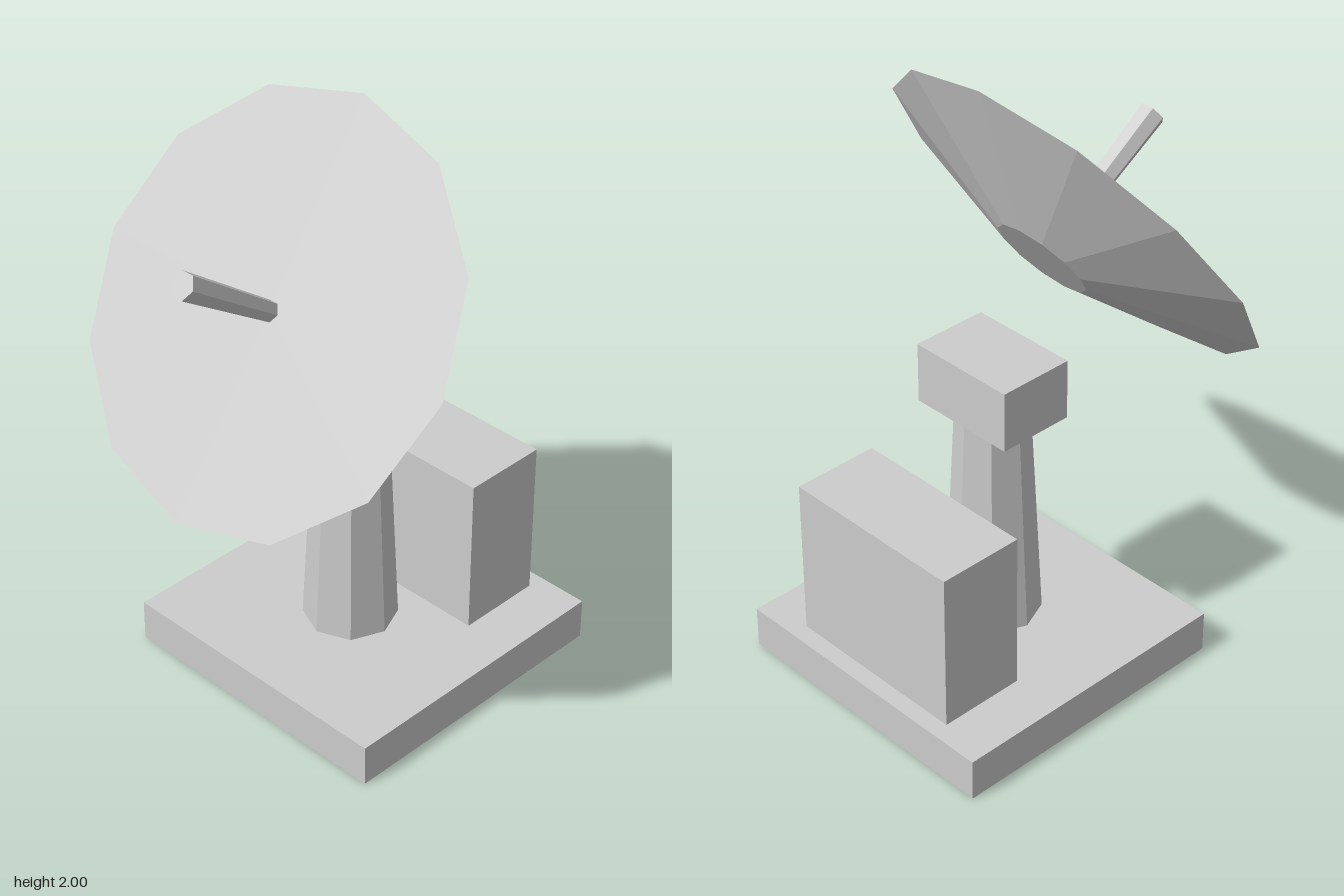
import * as THREE from 'three';

export function createModel() {
  const model = new THREE.Group();
  model.name = 'satelliteDishStation';
  const paleGrey = new THREE.MeshStandardMaterial({ color: 0xcccccc, flatShading: true });
  paleGrey.name = 'paleGrey';

  const add = (name, geometry, x, y, z, parent = model) => {
    const mesh = new THREE.Mesh(geometry, paleGrey);
    mesh.name = name;
    mesh.position.set(x, y, z);
    parent.add(mesh);
    return mesh;
  };

  // Ground slab, equipment cabinet and tapered octagonal pedestal
  add('baseSlab', new THREE.BoxGeometry(1.01, 0.143, 1.015), 0, 0.0715, -0.143);
  add('equipmentCabinet', new THREE.BoxGeometry(0.655, 0.547, 0.297), 0, 0.4165, -0.443);
  add('pedestal', new THREE.CylinderGeometry(0.118, 0.155, 0.757, 8), 0, 0.5215, -0.084);
  add('pedestalHead', new THREE.BoxGeometry(0.38, 0.205, 0.263), 0, 1.0025, -0.084);

  // Dish and feed horn share one tilted axis; local +z points out of the dish
  const antenna = new THREE.Group();
  antenna.name = 'antenna';
  antenna.position.set(0, 1.44, 0.257);
  antenna.rotation.x = -0.605;
  model.add(antenna);

  const dish = new THREE.CylinderGeometry(0.684, 0.165, 0.163, 12).rotateX(Math.PI / 2);
  add('dish', dish, 0, 0, -0.0815, antenna);

  const horn = new THREE.CylinderGeometry(0.045, 0.034, 0.405, 6)
    .rotateY(Math.PI / 6)
    .rotateX(Math.PI / 2);
  add('feedHorn', horn, 0, 0, 0.2025, antenna);

  return model;
}
